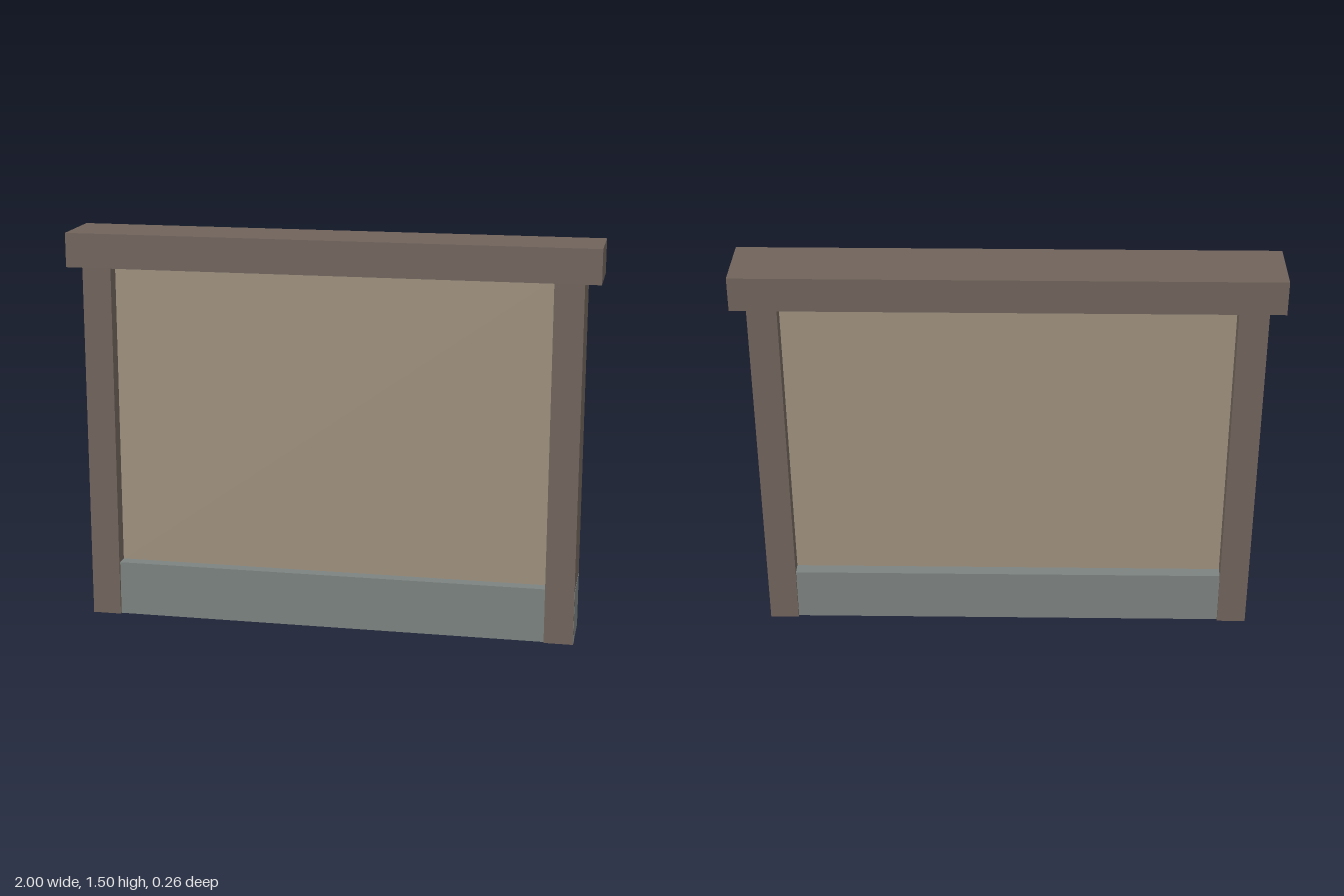
import * as THREE from 'three';

const wood = new THREE.MeshStandardMaterial({ color: 0x70635b });
const plaster = new THREE.MeshStandardMaterial({ color: 0x9d907d });
const stone = new THREE.MeshStandardMaterial({ color: 0x7b827f });

// Box centred on z, given its bottom and top heights
function block(name, material, width, depth, bottom, top, x = 0) {
  const mesh = new THREE.Mesh(new THREE.BoxGeometry(width, top - bottom, depth), material);
  mesh.name = name;
  mesh.position.set(x, (bottom + top) / 2, 0);
  return mesh;
}

export function createModel() {
  const wall = new THREE.Group();
  wall.name = 'wall';

  // Stone footing, just showing at the outer faces of the posts
  wall.add(block('footing', stone, 1.882, 0.214, 0, 0.21));

  // Recessed infill panel
  wall.add(block('panel', plaster, 1.68, 0.118, 0.2, 1.39));

  // Timber posts at both ends
  for (const [name, side] of [['leftPost', 1], ['rightPost', -1]]) {
    wall.add(block(name, wood, 0.11, 0.234, 0, 1.38, side * 0.885));
  }

  // Overhanging top beam
  wall.add(block('topBeam', wood, 2, 0.256, 1.375, 1.505));

  return wall;
}
